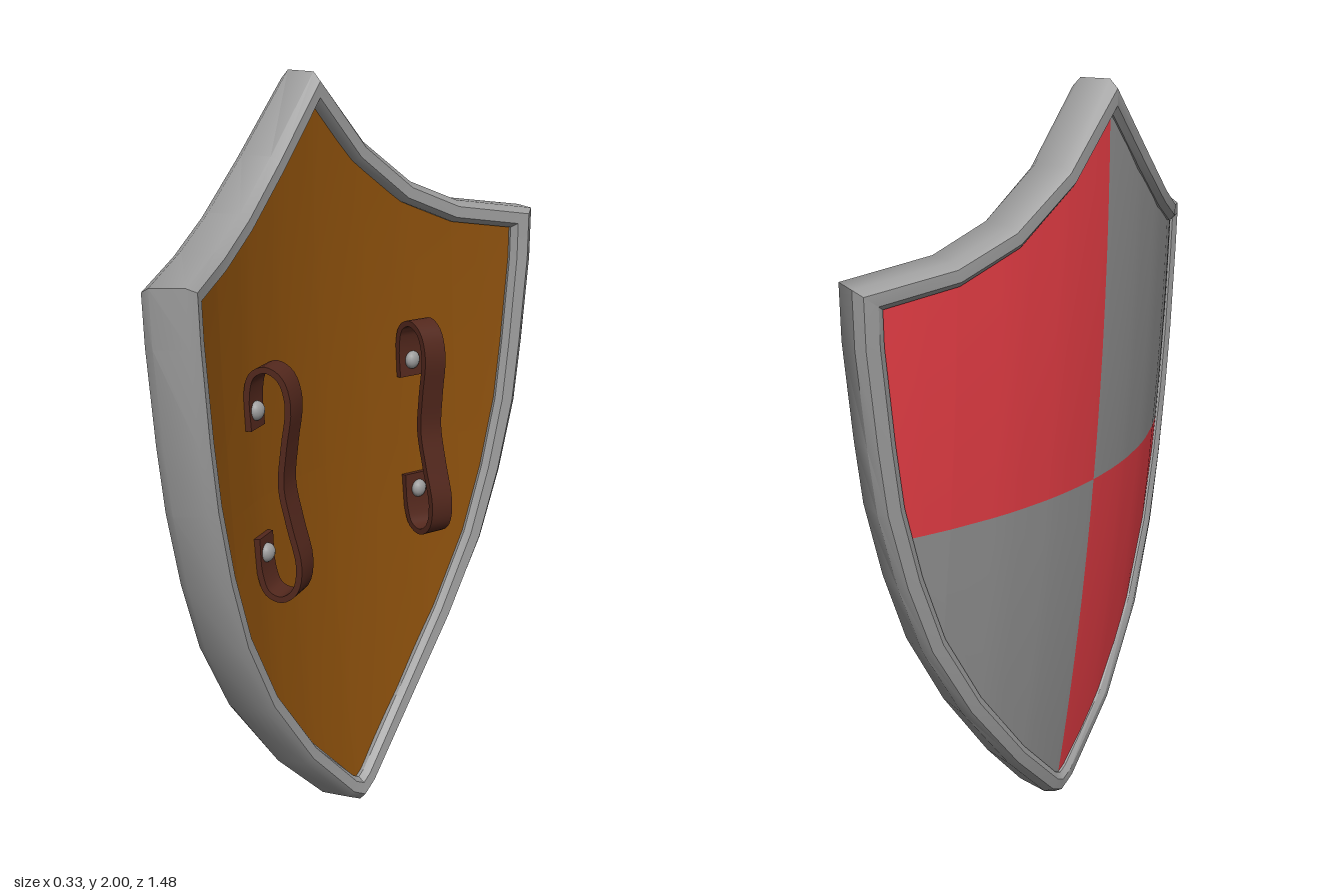
import * as THREE from 'three';
import { toCreasedNormals } from 'three/addons/utils/BufferGeometryUtils.js';

const material = (name, color) => {
  const m = new THREE.MeshStandardMaterial({ color });
  m.name = name;
  return m;
};

// Bent shield surface: (z, y) across the shield, n = depth behind its outer face.
function bend(z, y, n) {
  const x = -0.003 - 0.167 * y + 0.043 * y * y + 0.395 * z * z;
  const normal = new THREE.Vector3(1, 0.167 - 0.086 * y, -0.79 * z).normalize();
  return new THREE.Vector3(x, y, z).addScaledVector(normal, n);
}

// Quad grid from a point rule; wrapI / wrapJ close it into a loop.
function grid(ni, nj, point, { flip = false, wrapI = false, wrapJ = false } = {}) {
  const pos = [], index = [];
  for (let i = 0; i < ni; i++) for (let j = 0; j < nj; j++) pos.push(...point(i, j).toArray());
  for (let i = 0; i < (wrapI ? ni : ni - 1); i++) {
    for (let j = 0; j < (wrapJ ? nj : nj - 1); j++) {
      const i2 = (i + 1) % ni, j2 = (j + 1) % nj;
      const a = i * nj + j, b = i2 * nj + j, c = i2 * nj + j2, d = i * nj + j2;
      if (flip) index.push(a, c, b, a, d, c);
      else index.push(a, b, c, a, c, d);
    }
  }
  const g = new THREE.BufferGeometry();
  g.setAttribute('position', new THREE.Float32BufferAttribute(pos, 3));
  g.setIndex(index);
  g.computeVertexNormals();
  return g;
}

// Half outline (z, y) from the top point, round the shoulder, to the bottom tip.
const TOP = [[0, 2], [0.2, 1.808], [0.37, 1.69], [0.525, 1.627], [0.75, 1.59]];
const SIDE = [[0.745, 1.45], [0.718, 1.21], [0.692, 1.04], [0.638, 0.84], [0.564, 0.645],
  [0.435, 0.43], [0.247, 0.204], [0.06, 0.03], [0, 0]];
const half = [...TOP, ...SIDE];
const outline = [...half, ...half.slice(1, -1).reverse().map(([z, y]) => [-z, y])];

// Mitred inset of one outline point.
function inset(i, w) {
  const n = outline.length;
  const [p, q, r] = [-1, 0, 1].map((k) => new THREE.Vector2(...outline[(i + k + n) % n]));
  const t1 = q.clone().sub(p).normalize(), t2 = r.clone().sub(q).normalize();
  const n1 = new THREE.Vector2(t1.y, -t1.x), n2 = new THREE.Vector2(t2.y, -t2.x);
  const m = n1.clone().add(n2).normalize();
  return q.addScaledVector(m, w / m.dot(n1));
}

// Linear height lookup along a list of points sorted by z.
function heightAt(list, z) {
  for (let i = 1; i < list.length; i++) {
    const a = list[i - 1], b = list[i];
    if (z <= b.x) return a.y + (b.y - a.y) * THREE.MathUtils.clamp((z - a.x) / (b.x - a.x), 0, 1);
  }
  return list[list.length - 1].y;
}

export function createModel() {
  const model = new THREE.Group();
  const steel = material('steel', 0x9c9c9c);
  const greyPaint = material('grey paint', 0x929292);
  const redPaint = material('red paint', 0xe63d45);
  const wood = material('wood', 0x8c500c);
  const leather = material('leather', 0x53281d);

  const add = (name, geometry, mat, parent = model) => {
    const mesh = new THREE.Mesh(geometry, mat);
    mesh.name = name;
    parent.add(mesh);
    return mesh;
  };

  // Chamfered metal rim swept around the outline
  const section = [[0, 0.022], [0, 0.106], [0.016, 0.128], [0.046, 0.128], [0.06, 0.112],
    [0.06, 0.014], [0.046, 0], [0.016, 0]];
  const rim = grid(outline.length, section.length, (i, j) => {
    const p = inset(i, section[j][0]);
    return bend(p.x, p.y, section[j][1]);
  }, { wrapI: true, wrapJ: true });
  add('rim', toCreasedNormals(rim, 0.7), steel);

  // Panel edges, sorted from the middle to the shoulder
  const edge = half.map((_, i) => inset(i, 0.056));
  const upper = edge.slice(0, TOP.length);
  const lower = edge.slice(TOP.length - 1).reverse();
  const SPLIT = 0.965;
  const k = lower.findIndex((p) => p.y > SPLIT);
  const [pa, pb] = [lower[k - 1], lower[k]];
  const splitZ = pa.x + (pb.x - pa.x) * (SPLIT - pa.y) / (pb.y - pa.y);
  const columns = [...upper.map((p) => p.x), ...lower.map((p) => p.x), splitZ, 0.1, 0.3]
    .map((z) => Math.max(0, z)).sort((a, b) => a - b)
    .filter((z, i, all) => i === 0 || z - all[i - 1] > 1e-4);

  // One quarter of the panel: side s, upper or lower half, at depth n
  const quarter = (s, isUpper, n, back) => {
    const rows = 8;
    return grid(columns.length, rows + 1, (i, j) => {
      const z = columns[i], bottom = heightAt(lower, z);
      const y0 = isUpper ? Math.max(bottom, SPLIT) : Math.min(bottom, SPLIT);
      const y1 = isUpper ? heightAt(upper, z) : SPLIT;
      return bend(s * z, y0 + (y1 - y0) * j / rows, n);
    }, { flip: (s < 0) !== back });
  };

  // Painted quarters outside, wood inside
  for (const s of [1, -1]) {
    const side = s > 0 ? 'Left' : 'Right';
    for (const isUpper of [true, false]) {
      const level = isUpper ? 'upper' : 'lower';
      add(`${level}${side}PaintedQuarter`, quarter(s, isUpper, 0.02, false),
        (s > 0) === isUpper ? greyPaint : redPaint);
      add(`${level}${side}WoodBacking`, quarter(s, isUpper, 0.102, true), wood);
    }
  }

  // Strap path (y, depth): both ends curl back onto the wood, the middle dips in
  const MID = 1.015;
  const upperPath = [[0.14, 0.11], [0.23, 0.11], [0.282, 0.126], [0.298, 0.163],
    [0.275, 0.201], [0.21, 0.219], [0.1, 0.201]];
  const path = new THREE.CatmullRomCurve3([
    ...upperPath.map(([y, n]) => new THREE.Vector3(MID + y, n, 0)),
    new THREE.Vector3(MID, 0.187, 0),
    ...[...upperPath].reverse().map(([y, n]) => new THREE.Vector3(MID - y, n, 0)),
  ]);
  const STEPS = 56, STRAP_Z = 0.35;
  const corners = [[-1, -1], [1, -1], [1, 1], [-1, 1]];

  for (const s of [1, -1]) {
    const handle = new THREE.Group();
    handle.name = s > 0 ? 'leftHandle' : 'rightHandle';
    model.add(handle);

    // Leather strap; the first and last rings shrink to a point to cap the ends
    const strap = grid(STEPS + 3, 4, (i, j) => {
      const t = THREE.MathUtils.clamp((i - 1) / STEPS, 0, 1);
      const size = i === 0 || i === STEPS + 2 ? 0 : 1;
      const p = path.getPoint(t), d = path.getTangent(t);
      const u = corners[j][0] * 0.04 * size, v = corners[j][1] * 0.008 * size;
      return bend(s * (STRAP_Z + u), p.x - d.y * v, p.y + d.x * v);
    }, { wrapJ: true, flip: s > 0 });
    add('strap', toCreasedNormals(strap, 0.6), leather, handle);

    // Rivets holding the strap ends
    for (const dy of [0.185, -0.185]) {
      const rivet = add('rivet', new THREE.SphereGeometry(0.025, 14, 10), steel, handle);
      rivet.scale.x = 0.7;
      rivet.position.copy(bend(s * (STRAP_Z + 0.005), MID + dy, 0.119));
    }
  }
  return model;
}
